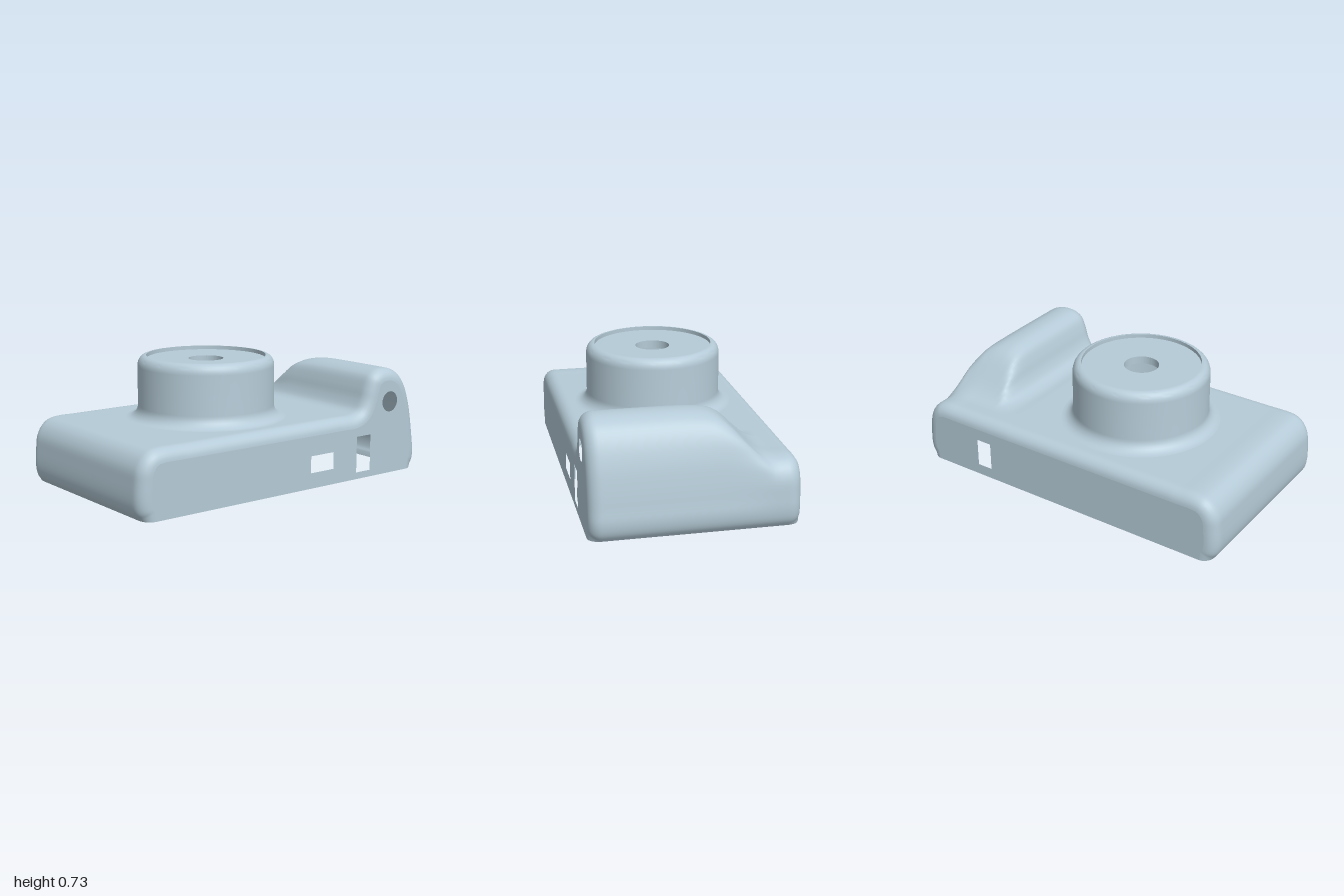
import * as THREE from 'three';
import { toCreasedNormals } from 'three/addons/utils/BufferGeometryUtils.js';

const COLOR = 0xb5cbd7;
const TOP = 0.372, WALL = 0.03, EDGE = 0.07, DEPTH = 0.57;
const LENS_X = -0.165;
const STEPS = 4; // samples per profile span

// Profile from the lower -x corner, over the top, to the lower +x corner
const COMMON = [[-.965, 0], [-.99, .04], [-1, .1], [-.995, .2], [-.985, .27], [-.955, .325], [-.91, .36],
  [-.85, TOP], [-.75, TOP], [-.7, TOP], [.37, TOP], [.42, TOP], [.49, TOP]];
const GRIP = [[.545, .395], [.578, .45], [.6, .52], [.63, .585], [.68, .617], [.735, .625], [.8, .615],
  [.86, .58], [.91, .51], [.95, .4], [.975, .28], [.99, .18], [1, .1], [.99, .04], [.965, 0]];
const PLAIN = [[.55, TOP], [.59, TOP], [.62, TOP], [.66, TOP], [.7, TOP], [.76, TOP], [.85, TOP],
  [.91, .36], [.94, .34], [.965, .31], [.985, .26], [.995, .18], [1, .1], [.99, .04], [.965, 0]];
const GAP = [9 * STEPS, 10 * STEPS], GAP_Z = 0.48; // opening under the lens plate

// Cross-section at z, moved inward; the grip slopes down to the plain body at the back
function section(z, inset) {
  const cap = Math.max(0, 0.827 * (z + 0.43));
  const w = Math.max(0, 1 - cap / 0.255) ** 2;
  const right = GRIP.map(([x, y], k) => {
    const e = y - TOP;
    if (e > 0) y = TOP + (e * cap) / Math.pow(e ** 6 + cap ** 6, 1 / 6);
    const [bx, by] = PLAIN[k];
    return [x + (bx - x) * w, y + (by - y) * w];
  });
  const pts = [...COMMON, ...right].map(([x, y]) => new THREE.Vector3(x, y, 0));
  const p = new THREE.CatmullRomCurve3(pts).getPoints((pts.length - 1) * STEPS);
  const last = p.length - 1;
  return p.map((q, i) => {
    const t = p[Math.min(i + 1, last)].clone().sub(p[Math.max(i - 1, 0)]).normalize();
    const y = i === 0 || i === last ? 0 : Math.max(0, q.y - t.x * inset);
    return new THREE.Vector3(q.x + t.y * inset, y, z);
  });
}

// Sections along z with rounded front and back edges
function sections(offset) {
  const r = EDGE - offset, list = [], arc = 7;
  const edge = (s, k) => {
    const a = (k / arc) * Math.PI / 2;
    list.push(section(s * (0.5 + r * Math.cos(a)), offset + r * (1 - Math.sin(a))));
  };
  for (let k = 0; k <= arc; k++) edge(-1, k);
  for (let k = 0; k <= 32; k++) list.push(section(-GAP_Z + k * 0.03, offset));
  for (let k = arc; k >= 0; k--) edge(1, k);
  return list;
}

function loft(rows, flip, skip) {
  const n = rows[0].length, index = [];
  for (let i = 0; i < rows.length - 1; i++) {
    const mid = (rows[i][0].z + rows[i + 1][0].z) / 2;
    for (let j = 0; j < n - 1; j++) {
      if (skip && Math.abs(mid) < GAP_Z && j >= GAP[0] && j < GAP[1]) continue;
      const a = i * n + j, b = a + n, c = a + 1, d = b + 1;
      if (flip) index.push(a, c, b, c, d, b);
      else index.push(a, b, c, c, b, d);
    }
  }
  const g = new THREE.BufferGeometry().setFromPoints(rows.flat());
  g.setIndex(index);
  g.computeVertexNormals();
  return g;
}

function rectPath(x0, x1, y0, y1) {
  return new THREE.Path([[x0, y0], [x0, y1], [x1, y1], [x1, y0]].map(p => new THREE.Vector2(...p)));
}
function circlePath(x, y, r) {
  return new THREE.Path().absarc(x, y, r, 0, Math.PI * 2, true);
}

export function createModel() {
  const group = new THREE.Group();
  const material = new THREE.MeshStandardMaterial({ color: COLOR });
  const thin = new THREE.MeshStandardMaterial({ color: COLOR, side: THREE.DoubleSide });
  const add = (name, geometry, x = 0, y = 0, z = 0, mat = material) => {
    const mesh = new THREE.Mesh(geometry, mat);
    mesh.name = name;
    mesh.position.set(x, y, z);
    group.add(mesh);
  };

  // Hollow body, open underneath
  const outer = sections(0), inner = sections(WALL);
  add('bodyOuter', loft(outer, false, true));
  add('bodyInner', loft(inner, true, true));
  for (const end of [0, outer[0].length - 1]) {
    add('bottomRim', loft(outer.map((row, i) => [row[end], inner[i][end]]), false, false), 0, 0, 0, thin);
  }

  // Front and back walls with their openings
  const wall = (name, z, holes) => {
    const shape = new THREE.Shape(section(z, EDGE).map(p => new THREE.Vector2(p.x, p.y)));
    shape.holes.push(...holes);
    add(name, new THREE.ExtrudeGeometry(shape, { depth: WALL, bevelEnabled: false, curveSegments: 32 }),
      0, 0, z > 0 ? DEPTH - WALL : -DEPTH);
  };
  wall('frontWall', DEPTH, [rectPath(.145, .315, .09, .188), rectPath(.495, .603, .04, .252),
    circlePath(.755, .43, .06)]);
  wall('backWall', -DEPTH, [rectPath(.505, .6, .065, .232)]);

  // Flat top around the lens barrel, outside and inside
  const plate = (name, r, y, side) => {
    const s = new THREE.Shape(rectPath(-.7, .37, -GAP_Z, GAP_Z).getPoints());
    s.holes.push(circlePath(LENS_X, 0, r));
    add(name, new THREE.ShapeGeometry(s, 48).rotateX(-side * Math.PI / 2), 0, y, 0);
  };
  plate('topPlate', .46, TOP, 1);
  plate('ceilingPlate', .36, TOP - WALL, -1);

  // Hollow lens barrel with base fillet, rounded lip, recessed face and centre hole
  const profile = [[.36, TOP - WALL], [.36, .66], [.1, .66], [.1, .705], [.342, .705], [.342, .727]];
  for (let k = 0; k <= 8; k++) {
    const a = (k / 8) * Math.PI / 2;
    profile.push([.345 + .047 * Math.sin(a), .667 + .06 * Math.cos(a)]);
  }
  for (let k = 0; k <= 8; k++) {
    const a = (k / 8) * Math.PI / 2;
    profile.push([.46 - .068 * Math.cos(a), TOP + .07 * (1 - Math.sin(a))]);
  }
  const lathe = new THREE.LatheGeometry(profile.reverse().map(p => new THREE.Vector2(...p)), 96);
  // The lathe faces outward when its profile runs upward on the outside
  add('lensBarrel', toCreasedNormals(lathe, 0.6), LENS_X, 0, 0);

  // Mounting posts hanging from the ceiling
  const posts = [[.29, .364, .025, .165], [-.59, .38, .025, .165], [.33, .434, .014, .15], [-.88, .43, .014, .13]];
  for (const [x, z, r, bottom] of posts) {
    for (const s of [1, -1]) {
      const h = .35 - bottom - (x < -.8 ? .015 : 0);
      add('mountingPost', new THREE.CylinderGeometry(r, r, h, 20), x, bottom + h / 2, s * z);
    }
  }

  // Fastening tabs inside the lower rim
  for (const x of [.43, -.83]) {
    for (const s of [1, -1]) {
      add('rimTab', new THREE.BoxGeometry(.06, .06, .05), x, .045, s * .52);
    }
  }
  return group;
}
